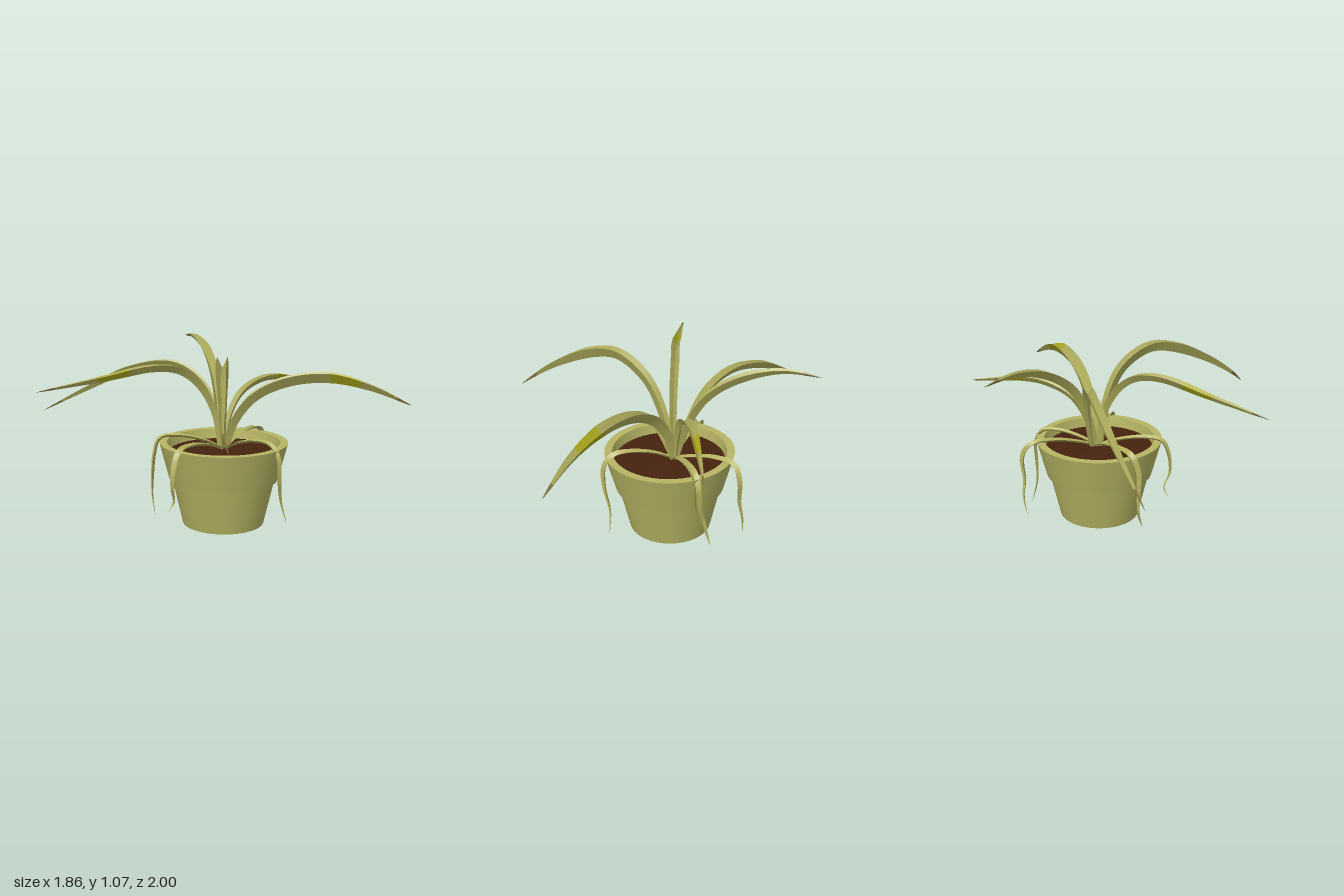
import * as THREE from 'three';
import { mergeGeometries } from 'three/addons/utils/BufferGeometryUtils.js';

const mat = (name, color, side = THREE.FrontSide) => {
  const m = new THREE.MeshStandardMaterial({ color, side });
  m.name = name;
  return m;
};
const V = (p) => new THREE.Vector3(...p);

// One lathe per profile segment, so every corner stays sharp
function sharpLathe(profile) {
  const parts = [];
  for (let i = 0; i < profile.length - 1; i++) {
    parts.push(new THREE.LatheGeometry([profile[i], profile[i + 1]].map((p) => new THREE.Vector2(...p)), 48));
  }
  return mergeGeometries(parts);
}

// Folded blade with a V section swept along a path, between fractions t0 and t1
function bladeGeometry(curve, across, width, fold, t0, t1) {
  const rows = Math.max(3, Math.ceil((t1 - t0) * 32));
  const pos = [], index = [];
  for (let i = 0; i <= rows; i++) {
    const t = t0 + ((t1 - t0) * i) / rows;
    const p = curve.getPointAt(t), tan = curve.getTangentAt(t);
    const side = across.clone().addScaledVector(tan, -across.dot(tan)).normalize();
    const up = new THREE.Vector3().crossVectors(side, tan).normalize();
    const taper = (0.7 + 0.3 * Math.min(1, t / 0.4)) * Math.min(1, Math.pow((1 - t) / 0.38, 0.8) + 0.02);
    const mid = p.clone().addScaledVector(up, (-fold / 2) * taper);
    const edge = (s) => p.clone().addScaledVector(up, (fold / 2) * taper).addScaledVector(side, s * width * taper);
    // the middle is doubled to keep the fold crisp
    for (const v of [edge(-1), mid, mid, edge(1)]) pos.push(v.x, v.y, v.z);
    if (i < rows) {
      for (const k of [0, 2]) {
        const a = i * 4 + k;
        index.push(a, a + 1, a + 5, a, a + 5, a + 4);
      }
    }
  }
  const g = new THREE.BufferGeometry();
  g.setAttribute('position', new THREE.Float32BufferAttribute(pos, 3));
  g.setIndex(index);
  g.computeVertexNormals();
  return g;
}

export function createModel() {
  const model = new THREE.Group();
  const potMat = mat('olive clay', 0xb6b463);
  const soilMat = mat('soil brown', 0x46220f);
  const leafMat = mat('leaf green', 0xb0ae5c, THREE.DoubleSide);
  const yellowMat = mat('leaf yellow', 0xaeac1c, THREE.DoubleSide);
  const tipMat = mat('dry tip', 0x8a7a42, THREE.DoubleSide);

  const add = (name, geometry, material, parent = model) => {
    const mesh = new THREE.Mesh(geometry, material);
    mesh.name = name;
    parent.add(mesh);
    return mesh;
  };

  // Pot with a stepped rim, and the soil inside
  const cx = 0.075, cz = 0.11;
  const pot = add('pot', sharpLathe([
    [0, 0], [0.245, 0], [0.308, 0.275], [0.325, 0.275], [0.384, 0.5], [0.338, 0.5], [0.325, 0.42],
  ]), potMat);
  const soil = add('soil', sharpLathe([[0.333, 0.44], [0, 0.455]]), soilMat);
  pot.position.set(cx, 0, cz);
  soil.position.set(cx, 0, cz);

  // Each part of a leaf is [name, material, start, end]
  function addLeaf(name, points, width, fold, parts) {
    const curve = new THREE.CatmullRomCurve3(points.map(V), false, 'centripetal');
    const first = V(points[0]), last = V(points[points.length - 1]);
    const out = last.sub(first).setY(0).normalize();
    const across = new THREE.Vector3(-out.z, 0, out.x);
    const leaf = new THREE.Group();
    leaf.name = name;
    for (const [part, material, t0, t1] of parts) {
      add(part, bladeGeometry(curve, across, width, fold, t0, t1), material, leaf);
    }
    model.add(leaf);
  }
  const plain = [['blade', leafMat, 0, 0.91], ['tip', tipMat, 0.91, 1]];
  const banded = [['blade', leafMat, 0, 0.63], ['yellowBand', yellowMat, 0.63, 0.76],
    ['outerBlade', leafMat, 0.76, 0.93], ['tip', tipMat, 0.93, 1]];

  // Long arching leaves
  addLeaf('backLeaf', [[0.11, 0.44, 0.08], [0.12, 0.68, 0.0], [0.1, 0.85, -0.11], [0.05, 0.93, -0.28],
    [-0.06, 0.89, -0.52], [-0.21, 0.76, -0.76], [-0.38, 0.61, -1.0]], 0.026, 0.042, plain);
  addLeaf('backLeftLeaf', [[0.1, 0.44, 0.09], [0.13, 0.65, 0.03], [0.2, 0.86, -0.07], [0.3, 0.99, -0.22],
    [0.42, 1.055, -0.42], [0.54, 1.04, -0.6]], 0.03, 0.045, plain);
  addLeaf('leftLeaf', [[0.11, 0.44, 0.09], [0.15, 0.62, 0.09], [0.25, 0.76, 0.1], [0.4, 0.825, 0.12],
    [0.55, 0.835, 0.15], [0.75, 0.8, 0.2], [0.93, 0.765, 0.25]], 0.024, 0.035, banded);
  addLeaf('frontLeftLeaf', [[0.1, 0.44, 0.1], [0.13, 0.62, 0.15], [0.19, 0.77, 0.25], [0.29, 0.86, 0.4],
    [0.43, 0.89, 0.6], [0.56, 0.84, 0.8], [0.71, 0.735, 1.0]], 0.038, 0.06, banded);
  addLeaf('frontRightLeaf', [[0.07, 0.44, 0.1], [0.03, 0.72, 0.14], [-0.05, 0.92, 0.21], [-0.2, 1.025, 0.32],
    [-0.35, 1.0, 0.43], [-0.55, 0.88, 0.6], [-0.68, 0.77, 0.71], [-0.74, 0.69, 0.8]], 0.028, 0.06, plain);
  addLeaf('rightLeaf', [[0.07, 0.44, 0.09], [0.03, 0.68, 0.07], [-0.06, 0.85, 0.03], [-0.17, 0.94, -0.02],
    [-0.32, 0.965, -0.08], [-0.6, 0.925, -0.21], [-0.93, 0.88, -0.37]], 0.026, 0.04, banded);

  // Short leaves drooping over the rim
  const droop = [['blade', leafMat, 0, 1]];
  const c = [0.09, 0.45, 0.1];
  const droops = {
    rightDroop: [c, [-0.05, 0.5, 0.1], [-0.2, 0.525, 0.1], [-0.31, 0.51, 0.105], [-0.355, 0.42, 0.105],
      [-0.365, 0.3, 0.1], [-0.335, 0.21, 0.08], [-0.37, 0.15, 0.06]],
    backRightDroop: [c, [0.02, 0.5, 0.01], [-0.08, 0.53, -0.1], [-0.17, 0.52, -0.18], [-0.21, 0.42, -0.19],
      [-0.215, 0.3, -0.2], [-0.22, 0.17, -0.2], [-0.24, 0.06, -0.16]],
    leftDroop: [c, [0.2, 0.5, 0.1], [0.33, 0.53, 0.1], [0.43, 0.52, 0.1], [0.475, 0.45, 0.1],
      [0.47, 0.32, 0.09], [0.46, 0.2, 0.05], [0.49, 0.06, 0.02]],
    backLeftDroop: [c, [0.2, 0.5, 0.02], [0.32, 0.535, -0.07], [0.43, 0.53, -0.14], [0.485, 0.45, -0.15],
      [0.475, 0.3, -0.16], [0.48, 0.2, -0.18], [0.455, 0.08, -0.2]],
    frontDroop: [c, [0.085, 0.5, 0.2], [0.08, 0.535, 0.34], [0.075, 0.53, 0.45], [0.07, 0.47, 0.505],
      [0.075, 0.33, 0.515], [0.12, 0.19, 0.5], [0.155, 0.06, 0.52]],
  };
  for (const [name, points] of Object.entries(droops)) addLeaf(name, points, 0.024, 0.018, droop);

  return model;
}
